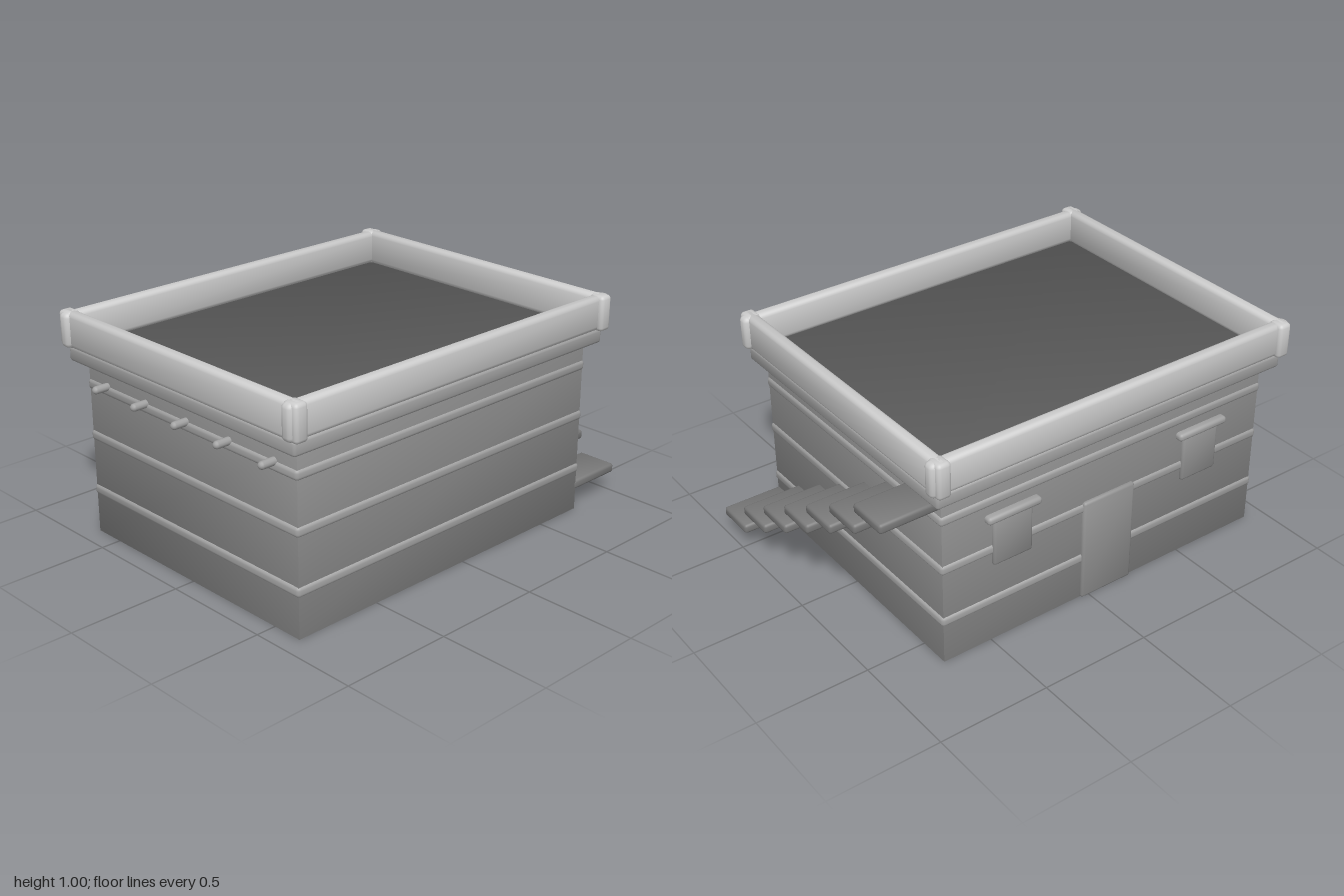
import * as THREE from 'three';
import { RoundedBoxGeometry } from 'three/addons/geometries/RoundedBoxGeometry.js';

// Leans the normals outwards towards the corners, for soft shading over flat faces
function soften(geometry, w, h, d, amount) {
  const p = geometry.attributes.position, n = geometry.attributes.normal;
  const v = new THREE.Vector3();
  for (let i = 0; i < p.count; i++) {
    v.set(p.getX(i) / w, p.getY(i) / h, p.getZ(i) / d).multiplyScalar(2 * amount);
    v.x += n.getX(i);
    v.y += n.getY(i);
    v.z += n.getZ(i);
    v.normalize();
    n.setXYZ(i, v.x, v.y, v.z);
  }
  return geometry;
}

export function createModel() {
  const house = new THREE.Group();
  house.name = 'flatRoofHouse';
  const cx = -0.09; // the stairs on +x push the building off centre

  const grey = (color) => new THREE.MeshStandardMaterial({ color });
  const pale = grey(0xcccccc); // parapet
  const trim = grey(0xa2a2a2); // cornice, bands, lintels, beams
  const wall = grey(0x8c8c8c);
  const opening = grey(0x929292);
  const tread = grey(0x787878);
  const floor = grey(0x585858);

  function add(name, geometry, mat, x, y, z) {
    const mesh = new THREE.Mesh(geometry, mat);
    mesh.name = name;
    mesh.position.set(x, y, z);
    house.add(mesh);
    return mesh;
  }
  const block = (name, mat, w, h, d, x, y, z) =>
    add(name, soften(new THREE.BoxGeometry(w, h, d), w, h, d, 0.5), mat, x, y, z);
  const slab = (name, mat, w, h, d, x, y, z, r) =>
    add(name, soften(new RoundedBoxGeometry(w, h, d, 3, r), w, h, d, 0.4), mat, x, y, z);

  // Main block
  block('body', wall, 1.64, 0.79, 1.28, cx, 0.395, 0);

  // Raised bands around the walls
  [0.2, 0.45, 0.68].forEach((y) => slab('wallBand', trim, 1.656, 0.045, 1.294, cx, y, 0, 0.015));

  // Cornice, with the roof floor on top
  slab('cornice', trim, 1.75, 0.063, 1.385, cx - 0.003, 0.814, 0, 0.012);
  block('roofFloor', floor, 1.71, 0.02, 1.35, cx - 0.003, 0.837, 0);

  // Parapet walls crossing at the corners
  for (const s of [-1, 1]) {
    slab('parapetLong', pale, 1.812, 0.15, 0.054, cx - 0.003, 0.922, s * 0.678, 0.02);
    slab('parapetShort', pale, 0.054, 0.155, 1.45, cx - 0.005 + s * 0.86, 0.9225, 0, 0.02);
    // Slightly thicker wall ends
    for (const e of [-1, 1])
      slab('parapetEnd', pale, 0.062, 0.155, 0.075, cx - 0.005 + s * 0.86, 0.9225, e * 0.6875, 0.016);
  }

  // Cantilevered stair treads climbing towards the back
  for (let i = 0; i < 7; i++)
    slab('stairTread', tread, 0.28, 0.042, 0.184, 0.86, 0.114 + i * 0.1075, 0.55 - i * 0.1833, 0.012);

  // Beam ends poking out of the left-hand wall
  for (let i = 0; i < 5; i++) {
    const beam = add('beamEnd', new THREE.CapsuleGeometry(0.017, 0.08, 4, 12), trim, -0.928, 0.7, -0.515 + i * 0.2575);
    beam.rotation.z = Math.PI / 2;
  }

  // Door and two windows with lintels on the back wall
  slab('door', opening, 0.265, 0.48, 0.04, cx, 0.24, -0.636, 0.012);
  for (const s of [-1, 1]) {
    const x = cx + s * 0.49;
    slab('window', opening, 0.19, 0.22, 0.04, x, 0.485, -0.636, 0.012);
    slab('windowLintel', trim, 0.26, 0.034, 0.05, x, 0.605, -0.647, 0.014);
  }
  return house;
}
